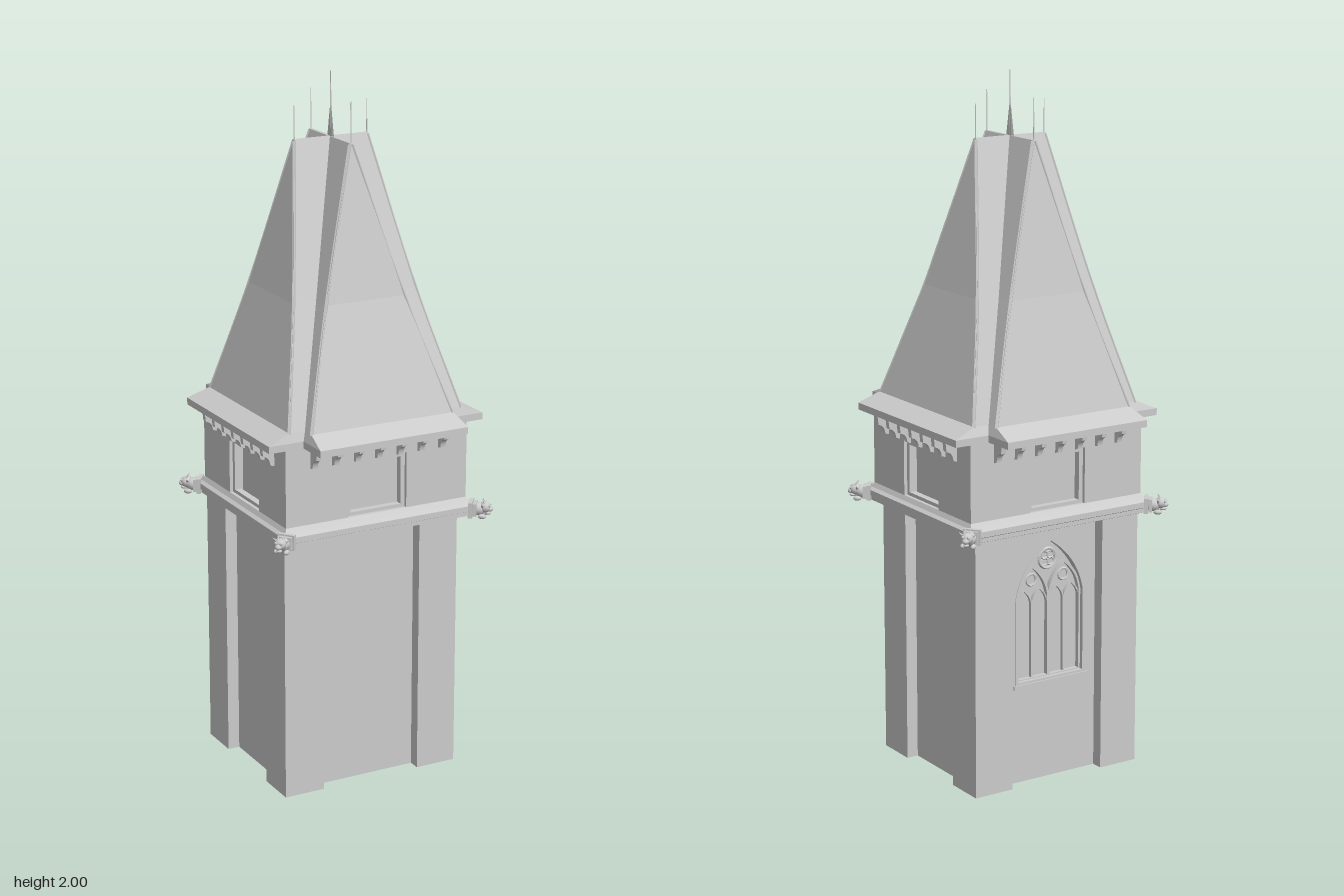
import * as THREE from 'three';

const grey = new THREE.MeshStandardMaterial({ color: 0xcccccc, flatShading: true, side: THREE.DoubleSide });
const smooth = new THREE.MeshStandardMaterial({ color: 0xcccccc });

function add(parent, name, geo, x = 0, y = 0, z = 0, mat = grey) {
  const m = new THREE.Mesh(geo, mat);
  m.name = name;
  m.position.set(x, y, z);
  parent.add(m);
  return m;
}

function group(parent, name) {
  const g = new THREE.Group();
  g.name = name;
  parent.add(g);
  return g;
}

const box = (w, h, d) => new THREE.BoxGeometry(w, h, d);
const extrude = (shape, depth) => new THREE.ExtrudeGeometry(shape, { depth, bevelEnabled: false, curveSegments: 10 });

// Stack of rectangular sections [halfX, halfZ, centreZ, y], from the bottom up
function loft(rings) {
  const pos = [];
  const R = rings.map(([hx, hz, cz, y]) =>
    [[1, 1], [1, -1], [-1, -1], [-1, 1]].map(([sx, sz]) => [sx * hx, y, cz + sz * hz]));
  const quad = (a, b, c, d) => pos.push(...a, ...b, ...c, ...a, ...c, ...d);
  for (let i = 0; i < R.length - 1; i++) {
    for (let k = 0; k < 4; k++) {
      const n = (k + 1) % 4;
      quad(R[i][k], R[i][n], R[i + 1][n], R[i + 1][k]);
    }
  }
  const b = R[0], t = R[R.length - 1];
  quad(b[3], b[2], b[1], b[0]);
  quad(t[0], t[1], t[2], t[3]);
  const g = new THREE.BufferGeometry();
  g.setAttribute('position', new THREE.Float32BufferAttribute(pos, 3));
  g.computeVertexNormals();
  return g;
}

function rect(x0, x1, y0, y1, P = THREE.Shape) {
  const s = new P();
  s.moveTo(x0, y0).lineTo(x1, y0).lineTo(x1, y1).lineTo(x0, y1).closePath();
  return s;
}

// Pointed arch outline: centre, half width, sill, springing, tip
function arch(cx, hw, y0, ys, yt, P = THREE.Shape) {
  const s = new P(), m = ys + (yt - ys) * 0.6;
  s.moveTo(cx - hw, y0).lineTo(cx + hw, y0).lineTo(cx + hw, ys);
  s.quadraticCurveTo(cx + hw * 0.85, m, cx, yt);
  s.quadraticCurveTo(cx - hw * 0.85, m, cx - hw, ys);
  return s;
}

function archFrame(cx, hw, y0, ys, yt, t, depth) {
  const s = arch(cx, hw, y0, ys, yt);
  s.holes.push(arch(cx, hw - t, y0 + t, ys, yt - t * 1.5, THREE.Path));
  return extrude(s, depth);
}

function buildLowerTower(root) {
  const g = group(root, 'lowerTower');
  g.position.set(-0.012, 0, 0.003);
  const hx = 0.274, hz = 0.246, p = 0.122, H = 0.76, inset = 0.035, t = 0.03;
  for (const sx of [-1, 1]) for (const sz of [-1, 1])
    add(g, 'cornerPier', box(p, H, p), sx * (hx - p / 2), H / 2, sz * (hz - p / 2));
  for (const sx of [-1, 1])
    add(g, 'sideWall', box(t, H, 2 * (hz - p)), sx * (hx - inset - t / 2), H / 2, 0);
  add(g, 'frontWall', box(2 * (hx - p), H, t), 0, H / 2, hz - inset - t / 2);

  // Back wall with the traceried window
  const back = group(g, 'backWallWithWindow');
  back.rotation.y = Math.PI;
  const z = hz - inset;
  const wall = rect(-(hx - p), hx - p, 0, H);
  wall.holes.push(arch(0, 0.118, 0.29, 0.54, 0.715, THREE.Path));
  add(back, 'backWall', extrude(wall, t), 0, 0, z - t);
  add(back, 'windowPane', extrude(arch(0, 0.118, 0.29, 0.54, 0.715), 0.004), 0, 0, z - t);
  add(back, 'windowFrame', archFrame(0, 0.12, 0.288, 0.54, 0.717, 0.011, 0.024), 0, 0, z - 0.022);
  for (const s of [-1, 1]) {
    add(back, 'subArch', archFrame(s * 0.054, 0.056, 0.295, 0.54, 0.635, 0.007, 0.014), 0, 0, z - 0.024);
    for (const k of [-1, 1])
      add(back, 'lancet', archFrame(s * 0.054 + k * 0.026, 0.027, 0.295, 0.52, 0.565, 0.004, 0.01), 0, 0, z - 0.024);
    add(back, 'smallRoundel', new THREE.TorusGeometry(0.016, 0.004, 5, 16), s * 0.054, 0.59, z - 0.018);
  }
  add(back, 'roundel', new THREE.TorusGeometry(0.028, 0.005, 5, 20), 0, 0.645, z - 0.018);
  for (let i = 0; i < 4; i++) {
    const a = Math.PI / 4 + i * Math.PI / 2;
    add(back, 'quatrefoil', new THREE.TorusGeometry(0.011, 0.003, 4, 12),
      Math.cos(a) * 0.014, 0.645 + Math.sin(a) * 0.014, z - 0.018);
  }
  add(back, 'windowSill', box(0.25, 0.012, 0.02), 0, 0.286, z - 0.004);
}

function buildBelfry(root) {
  const g = group(root, 'upperStorey');
  const sides = [[0, 0.257, 0.285], [Math.PI / 2, 0.285, 0.257], [Math.PI, 0.257, 0.285], [-Math.PI / 2, 0.285, 0.257]];
  sides.forEach(([rot, dist, hw], i) => {
    const side = group(g, 'upperSide');
    side.rotation.y = rot;
    const t = 0.045, w = i % 2 ? hw - t : hw;
    const wall = rect(-w, w, 0.79, 1.035);
    wall.holes.push(rect(-0.092, 0.092, 0.805, 0.97, THREE.Path));
    add(side, 'upperWall', extrude(wall, t), 0, 0, dist - t);
    const frame = rect(-0.092, 0.092, 0.805, 0.97);
    frame.holes.push(rect(-0.079, 0.079, 0.818, 0.957, THREE.Path));
    add(side, 'openingFrame', extrude(frame, 0.02), 0, 0, dist - 0.03);
    add(side, 'openingPanel', box(0.19, 0.17, 0.006), 0, 0.887, dist - t);
    // Curved corbels below the eaves
    const c = new THREE.Shape();
    c.moveTo(0, 0.968).lineTo(0.012, 0.972).quadraticCurveTo(0.014, 0.995, 0.034, 1.0);
    c.lineTo(0.038, 1.035).lineTo(0, 1.035).closePath();
    for (let k = -3; k <= 3; k++) {
      const b = add(side, 'corbel', extrude(c, 0.016), k * hw * 0.235 - 0.008, 0, dist);
      b.rotation.y = -Math.PI / 2;
      b.position.x += 0.016;
    }
  });
  // String course between the storeys
  add(g, 'stringCourse', loft([
    [0.28, 0.26, 0, 0.75], [0.29, 0.27, 0, 0.754], [0.29, 0.27, 0, 0.766], [0.302, 0.284, 0, 0.772],
    [0.302, 0.284, 0, 0.788], [0.292, 0.268, 0, 0.795], [0.285, 0.257, 0, 0.808]]));
}

// Horned grotesque facing along local +z
function buildGrotesque(root, sx, sz) {
  const g = group(root, 'cornerGrotesque');
  g.position.set(sx * 0.275, 0.778, sz * 0.262);
  g.rotation.y = Math.atan2(sx * 0.8, sz * 0.62);
  const ball = (name, r, x, y, z, kx = 1, ky = 1, kz = 1) =>
    add(g, name, new THREE.SphereGeometry(r, 10, 8), x, y, z, smooth).scale.set(kx, ky, kz);
  add(g, 'collar', box(0.05, 0.044, 0.012), 0, 0, 0.022);
  add(g, 'collar', box(0.04, 0.036, 0.01), 0, 0, 0.034);
  ball('body', 0.019, 0, 0, 0.042, 1, 1, 1.2);
  ball('head', 0.017, 0, 0.006, 0.062, 1, 0.95, 1);
  ball('snout', 0.01, 0, 0.001, 0.075, 1, 0.8, 1);
  ball('jaw', 0.008, 0, -0.011, 0.07, 1, 0.6, 1.2);
  for (const s of [-1, 1]) {
    ball('eye', 0.004, s * 0.008, 0.012, 0.075);
    ball('paw', 0.008, s * 0.015, -0.018, 0.055, 0.9, 0.9, 1.5);
    const ear = add(g, 'ear', new THREE.ConeGeometry(0.006, 0.022, 5), s * 0.018, 0.014, 0.056);
    ear.rotation.z = -s * 1.0;
    const horn = add(g, 'horn', new THREE.ConeGeometry(0.004, 0.02, 5), s * 0.008, 0.024, 0.058);
    horn.rotation.x = -0.5;
  }
}

function buildRoof(root) {
  const g = group(root, 'roof');
  // Two crossing steep hipped roofs with flared eaves
  const arms = [
    [[0.23, 0.357, -0.001, 1.03], [0.23, 0.357, -0.001, 1.05], [0.222, 0.288, 0, 1.076],
      [0.124, 0.198, -0.01, 1.4], [0.005, 0.119, -0.018, 1.82]],
    [[0.335, 0.26, -0.002, 1.03], [0.335, 0.26, -0.002, 1.05], [0.27, 0.25, 0, 1.076],
      [0.193, 0.14, -0.01, 1.4], [0.115, 0.005, -0.018, 1.82]]];
  for (const rings of arms) {
    add(g, 'hippedRoof', loft(rings));
    for (const sx of [-1, 1]) for (const sz of [-1, 1]) {
      const path = new THREE.CatmullRomCurve3(rings.slice(2).map(([hx, hz, cz, y]) =>
        new THREE.Vector3(sx * (hx - 0.002), y - 0.004, cz + sz * (hz - 0.002))));
      add(g, 'hipRib', new THREE.TubeGeometry(path, 10, 0.006, 4));
    }
  }
  // Finials
  const spike = (x, z, top) =>
    add(g, 'ridgeSpike', new THREE.CylinderGeometry(0.0008, 0.002, top - 1.81, 5), x, (top + 1.81) / 2, z);
  for (const s of [-1, 1]) {
    spike(s * 0.113, -0.018, 1.915);
    spike(0, -0.018 + s * 0.117, 1.935);
  }
  spike(0, -0.018, 2).scale.set(1.5, 1, 1.5);
  add(g, 'centreFinial', new THREE.ConeGeometry(0.02, 0.11, 6), 0, 1.87, -0.018).scale.x = 0.15;
}

export function createModel() {
  const root = new THREE.Group();
  root.name = 'tower';
  buildLowerTower(root);
  buildBelfry(root);
  for (const sx of [-1, 1]) for (const sz of [-1, 1]) buildGrotesque(root, sx, sz);
  buildRoof(root);
  return root;
}
